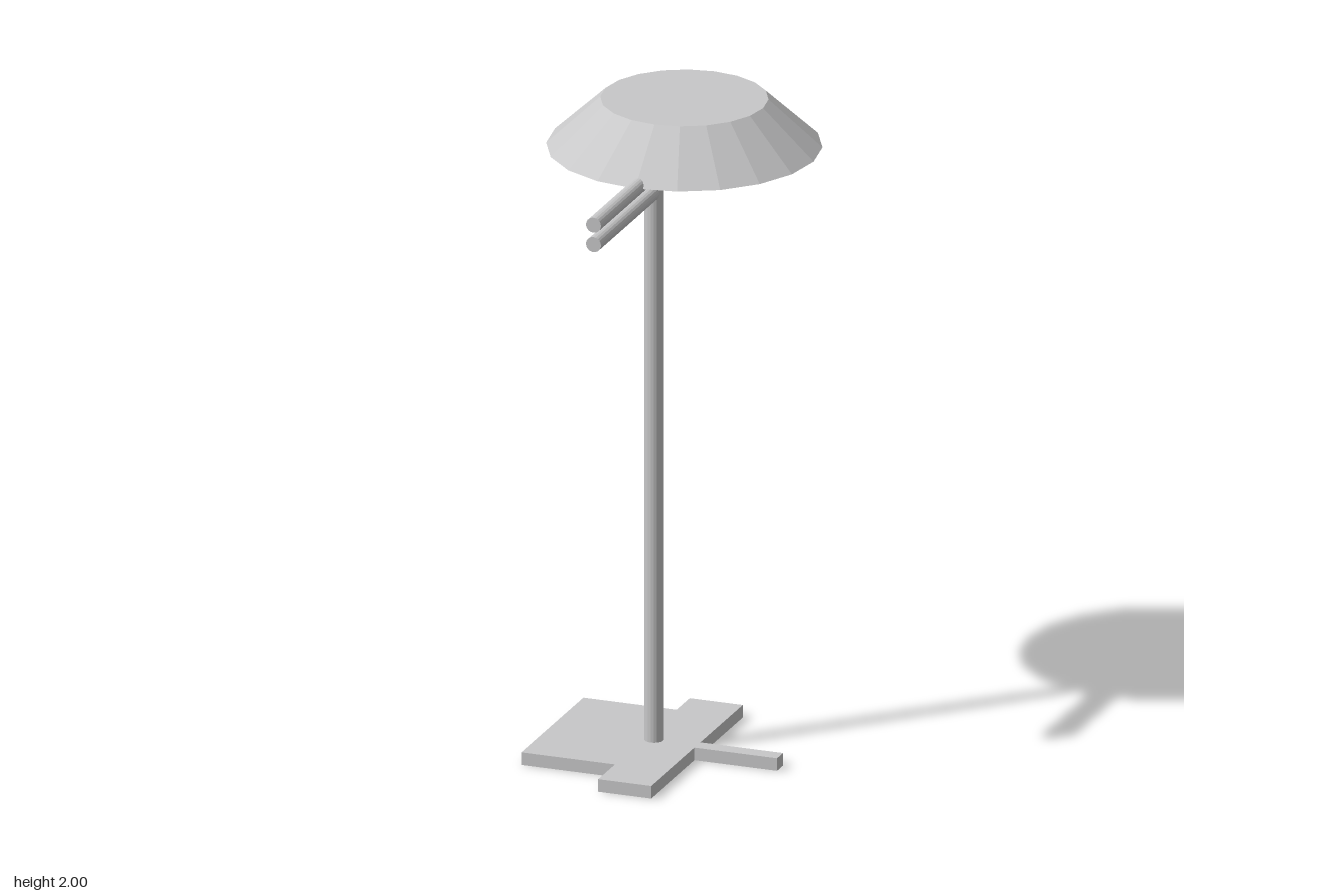
import * as THREE from 'three';

export function createModel() {
  const model = new THREE.Group();
  const grey = new THREE.MeshStandardMaterial({ color: 0xc8c8c9 });
  grey.name = 'light grey';
  grey.flatShading = true;

  const add = (name, geometry, x = 0, y = 0, z = 0) => {
    const mesh = new THREE.Mesh(geometry, grey);
    mesh.name = name;
    mesh.position.set(x, y, z);
    model.add(mesh);
    return mesh;
  };

  // Base: one slab joining a square plate, a cross bar and a thin side foot, as [x, z]
  const outline = [
    [-0.33, 0.33], [-0.03, 0.33], [-0.03, 0.47], [0.14, 0.47],
    [0.14, 0.105], [0.405, 0.105], [0.405, 0.055], [0.14, 0.055],
    [0.14, -0.3], [-0.03, -0.3], [-0.03, -0.19], [-0.33, -0.19],
  ];
  const baseShape = new THREE.Shape(outline.map(([x, z]) => new THREE.Vector2(x, -z)));
  const baseGeometry = new THREE.ExtrudeGeometry(baseShape, { depth: 0.04, bevelEnabled: false });
  baseGeometry.rotateX(-Math.PI / 2);
  add('base', baseGeometry);

  // Upright post
  add('post', new THREE.CylinderGeometry(0.029, 0.029, 1.81, 20), 0, 0.945, 0.082);

  // Two parallel handle bars reaching forward from the post
  for (const [name, y] of [['upperBar', 1.85], ['lowerBar', 1.788]]) {
    const bar = new THREE.CylinderGeometry(0.024, 0.024, 0.505, 20);
    bar.rotateX(Math.PI / 2);
    add(name, bar, 0, y, 0.3355);
  }

  // Faceted conical shade, closed above and below
  add('shade', new THREE.CylinderGeometry(0.253, 0.415, 0.15, 20), 0, 1.925, -0.175);

  return model;
}
